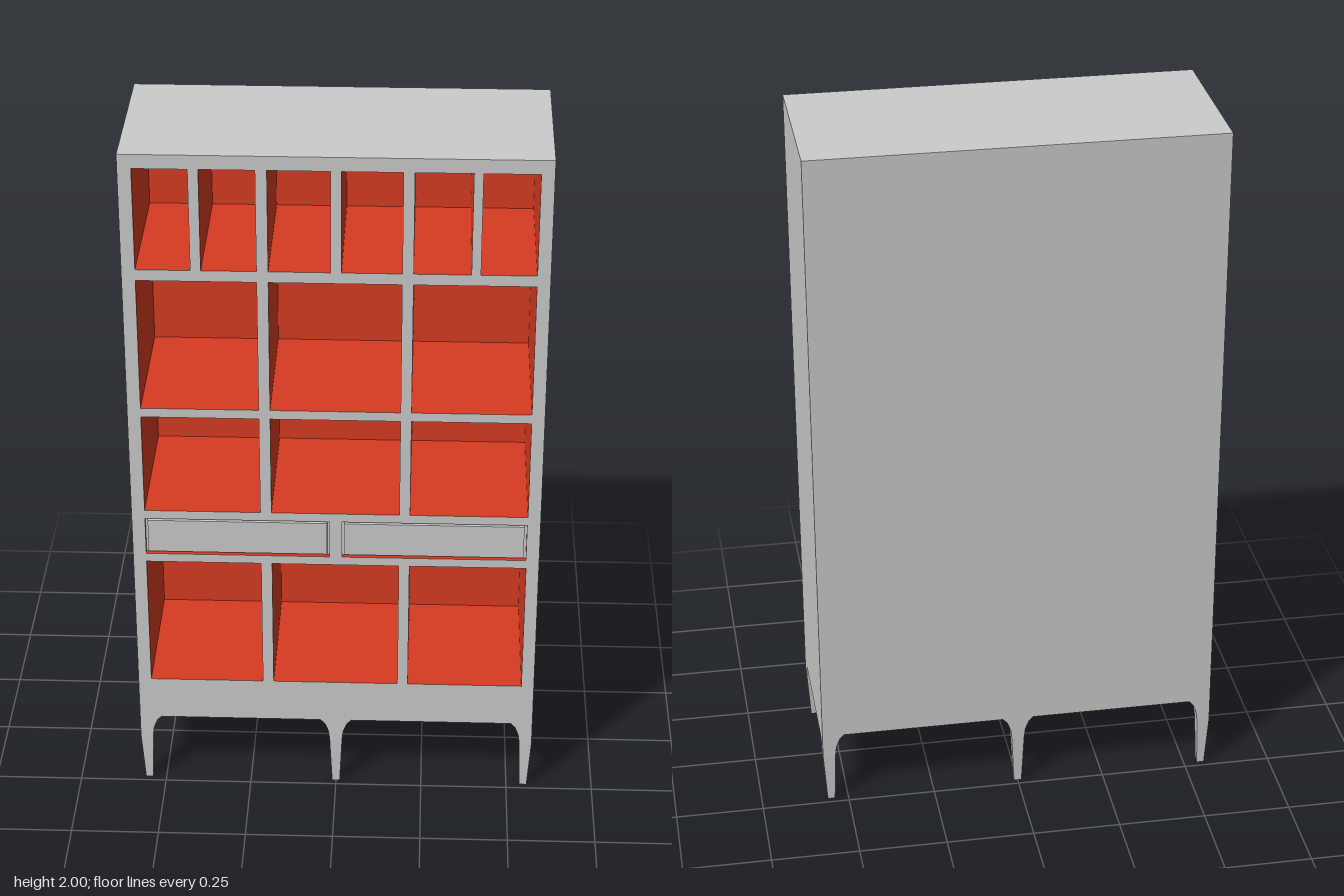
import * as THREE from 'three';

const W = 0.57, D = 0.237, H = 2, APRON = 0.22, FLOOR = 0.19;
const grey = new THREE.MeshStandardMaterial({ color: 0xcccccc });
const red = new THREE.MeshStandardMaterial({ color: 0xd83c22 });

// Openings as [x0, x1, y0, y1]
const columns = [[-0.533, -0.21], [-0.179, 0.177], [0.207, 0.534]];
const narrow = [[-0.533, -0.386], [-0.358, -0.21], [-0.179, -0.013],
  [0.016, 0.177], [0.207, 0.36], [0.385, 0.534]];
const rows = [[narrow, 1.667, 1.96], [columns, 1.246, 1.635],
  [columns, 0.92, 1.219], [columns, 0.352, 0.753]];
const cubbies = rows.flatMap(([cols, y0, y1]) => cols.map(([a, b]) => [a, b, y0, y1]));
const drawers = [[-0.533, -0.017, 0.779, 0.894], [0.017, 0.533, 0.779, 0.894]];

function add(parent, name, geometry, material = grey) {
  const mesh = new THREE.Mesh(geometry, material);
  mesh.name = name;
  parent.add(mesh);
  return mesh;
}

function rectangle(Type, [x0, x1, y0, y1]) {
  const path = new Type();
  path.moveTo(x0, y0).lineTo(x1, y0).lineTo(x1, y1).lineTo(x0, y1).closePath();
  return path;
}

// Box interior, open towards the front
function recess([x0, x1, y0, y1], depth) {
  const g = new THREE.BoxGeometry(x1 - x0, y1 - y0, depth);
  const index = Array.from(g.index.array);
  index.splice(24, 6); // drop the front side
  g.clearGroups();
  g.setIndex(index.reverse()); // turn the walls inwards
  g.computeVertexNormals();
  return g.translate((x0 + x1) / 2, (y0 + y1) / 2, D - depth / 2);
}

function slab([x0, x1, y0, y1], inset, zBack, zFront) {
  return new THREE.BoxGeometry(x1 - x0 - 2 * inset, y1 - y0 - 2 * inset, zFront - zBack)
    .translate((x0 + x1) / 2, (y0 + y1) / 2, (zBack + zFront) / 2);
}

// Side profile swept across the width, without its front side
function shellGeometry() {
  const profile = new THREE.Shape([[D, H], [-D, H], [-D, APRON], [-0.175, FLOOR],
    [0.175, FLOOR], [D, APRON]].map(([z, y]) => new THREE.Vector2(z, y)));
  const g = new THREE.ExtrudeGeometry(profile, { depth: 2 * W, bevelEnabled: false })
    .rotateY(-Math.PI / 2).translate(W, 0, 0);
  const p = g.attributes.position, n = g.attributes.normal, kept = [];
  for (let i = 0; i < p.count; i += 3) {
    if (n.getZ(i) > 0.99) continue;
    for (let k = i; k < i + 3; k++) kept.push(p.getX(k), p.getY(k), p.getZ(k));
  }
  return flat(kept);
}

function flat(positions) {
  const g = new THREE.BufferGeometry();
  g.setAttribute('position', new THREE.Float32BufferAttribute(positions, 3));
  g.computeVertexNormals();
  return g;
}

// Four-sided leg through rectangular sections [y, x0, x1, z0, z1]
function legGeometry(sections) {
  const rings = sections.map(([y, x0, x1, z0, z1]) =>
    [[x0, y, z1], [x1, y, z1], [x1, y, z0], [x0, y, z0]]);
  const out = [];
  const quad = (a, b, c, d) => out.push(...a, ...b, ...c, ...a, ...c, ...d);
  for (let i = 0; i + 1 < rings.length; i++) {
    for (let k = 0; k < 4; k++) {
      const m = (k + 1) % 4;
      quad(rings[i][k], rings[i][m], rings[i + 1][m], rings[i + 1][k]);
    }
  }
  const [a, b, c, d] = rings[0];
  quad(a, d, c, b);
  return flat(out);
}

export function createModel() {
  const model = new THREE.Group();
  model.name = 'cabinet';

  // Carcass
  add(model, 'carcassShell', shellGeometry());
  const face = rectangle(THREE.Shape, [-W, W, APRON, H]);
  face.holes = [...cubbies, ...drawers].map((r) => rectangle(THREE.Path, r));
  add(model, 'frontFrame', new THREE.ShapeGeometry(face).translate(0, 0, D));

  // Coloured compartments
  cubbies.forEach((r) => add(model, 'compartment', recess(r, 0.42), red));

  // Drawers set into shallow recesses
  for (const r of drawers) {
    const drawer = new THREE.Group();
    drawer.name = 'drawer';
    add(drawer, 'drawerRecess', recess(r, 0.025), red);
    add(drawer, 'drawerRim', slab(r, 0, D - 0.024, D - 0.014));
    add(drawer, 'drawerFront', slab(r, 0.007, D - 0.014, D - 0.002));
    model.add(drawer);
  }

  // Tapered legs flaring into the apron: [y, outer x, inner x, middle half width, outer z, inner z]
  const steps = [[0, 0.56, 0.539, 0.011, 0.233, 0.215], [0.15, 0.57, 0.534, 0.018, D, 0.204],
    [0.178, 0.57, 0.531, 0.021, D, 0.197], [0.19, 0.57, 0.527, 0.025, D, 0.18],
    [0.207, 0.57, 0.52, 0.032, D, 0.175], [APRON, 0.57, 0.508, 0.045, D, 0.175]];
  for (const sx of [-1, 0, 1]) {
    for (const sz of [-1, 1]) {
      const sections = steps.map(([y, xo, xi, half, zo, zi]) => {
        const x = sx ? [sx * xo, sx * xi] : [-half, half];
        const z = [sz * zo, sz * zi];
        return [y, Math.min(...x), Math.max(...x), Math.min(...z), Math.max(...z)];
      });
      add(model, sx ? 'cornerLeg' : 'middleLeg', legGeometry(sections));
    }
  }
  return model;
}
